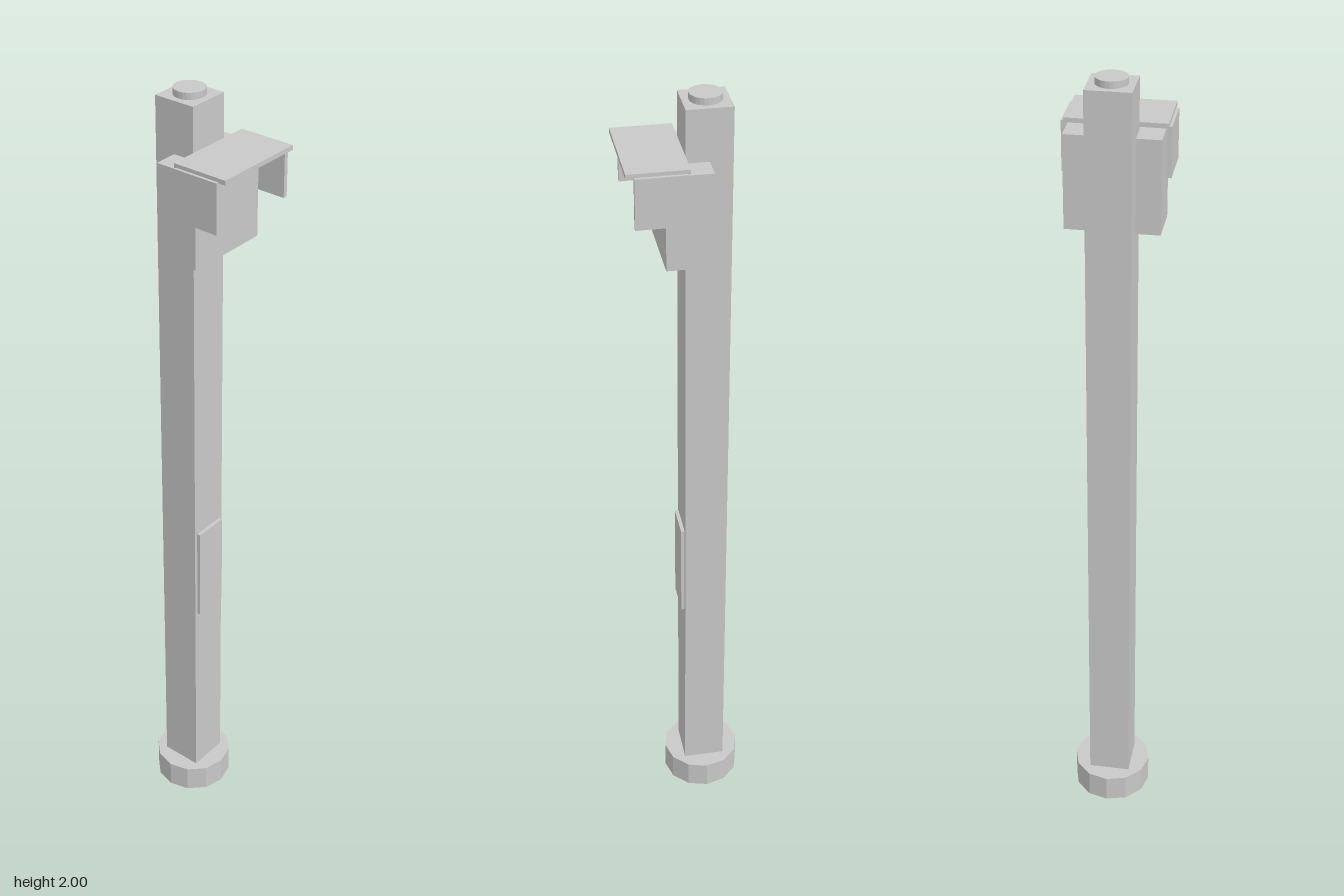
import * as THREE from 'three';

export function createModel() {
  const model = new THREE.Group();
  model.name = 'signalPost';
  const grey = new THREE.MeshStandardMaterial({ color: 0xc8c8c8 });
  grey.name = 'lightGrey';

  const add = (name, geometry) => {
    const mesh = new THREE.Mesh(geometry, grey);
    mesh.name = name;
    model.add(mesh);
  };

  // Box given by its extents on each axis
  const box = (name, [x0, x1], [y0, y1], [z0, z1]) => {
    const g = new THREE.BoxGeometry(x1 - x0, y1 - y0, z1 - z0);
    g.translate((x0 + x1) / 2, (y0 + y1) / 2, (z0 + z1) / 2);
    add(name, g);
  };

  // Upright faceted drum on the post axis
  const POST_Z = -0.0475;
  const drum = (name, radius, y0, y1, sides) => {
    const g = new THREE.CylinderGeometry(radius, radius, y1 - y0, sides).toNonIndexed();
    g.computeVertexNormals();
    g.translate(0, (y0 + y1) / 2, POST_Z);
    add(name, g);
  };

  // Post with its foot and top cap
  drum('foot', 0.099, 0, 0.072, 12);
  box('post', [-0.0525, 0.0525], [0.07, 1.984], [-0.1, 0.005]);
  drum('topCap', 0.037, 1.984, 2, 24);

  // Access panel low on the front
  box('accessPanel', [-0.044, 0.044], [0.601, 0.856], [0.005, 0.014]);

  // Head housing
  box('housing', [-0.11, 0.11], [1.637, 1.862], [-0.048, 0.058]);

  // Hood: top plate and two side plates
  box('hoodTop', [-0.117, 0.117], [1.868, 1.879], [0.005, 0.145]);
  for (const s of [-1, 1]) {
    const x = s < 0 ? [-0.124, -0.113] : [0.113, 0.124];
    box(s < 0 ? 'hoodSideRight' : 'hoodSideLeft', x, [1.75, 1.87], [0.011, 0.127]);
  }

  return model;
}
